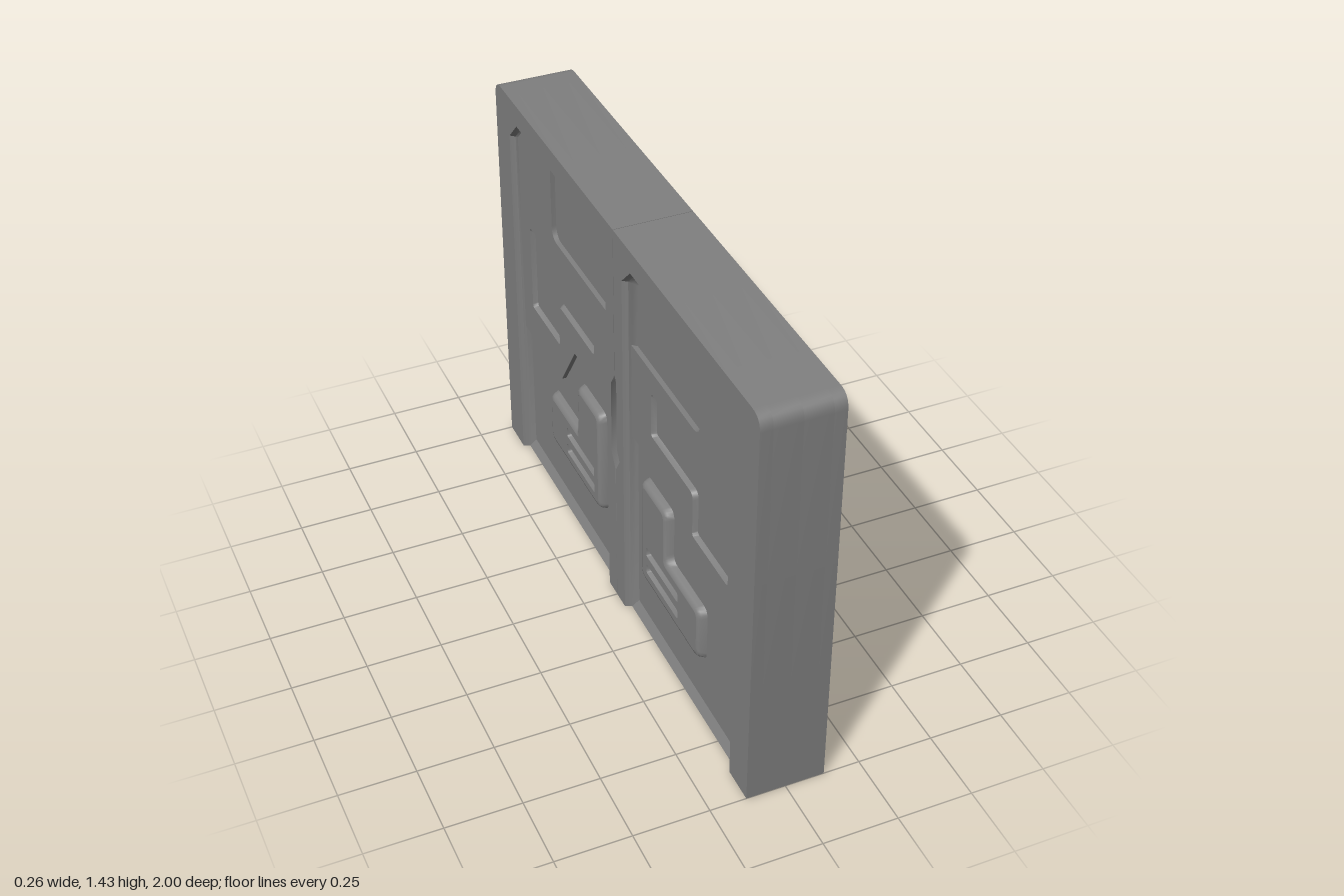
import * as THREE from 'three';
import { toCreasedNormals } from 'three/addons/utils/BufferGeometryUtils.js';

const solid = new THREE.MeshStandardMaterial({ color: 0x808080 });
const sheet = new THREE.MeshStandardMaterial({ color: 0x808080, side: THREE.DoubleSide });

// Distances of the surface levels from the middle plane of the door
const FACE = 0.13, UPPER = 0.106, LOWER = 0.09, BOSS = 0.118;
const SEAM = 0.001; // half width of the gap between the leaves

// Closed outline from [z, y, cornerRadius] points; s = -1 mirrors it
function outline(points, s, Type = THREE.Shape) {
  const path = new Type();
  const n = points.length;
  points.forEach(([z, y, r = 0], i) => {
    const p = new THREE.Vector2(z * s, y);
    const toward = ([qz, qy]) => new THREE.Vector2(qz * s, qy).sub(p).setLength(r).add(p);
    const a = r ? toward(points[(i + n - 1) % n]) : p;
    if (i === 0) path.moveTo(a.x, a.y); else path.lineTo(a.x, a.y);
    if (r) {
      const b = toward(points[(i + 1) % n]);
      path.quadraticCurveTo(p.x, p.y, b.x, b.y);
    }
  });
  path.closePath();
  return path;
}

// Plate between two levels, facing -x; holes run against the outline
function plate(name, points, s, from, to, holes = []) {
  const shape = outline(points, s);
  shape.holes = holes.map((h) => outline([...h].reverse(), s, THREE.Path));
  const geo = new THREE.ExtrudeGeometry(shape, { depth: to - from, bevelEnabled: false, curveSegments: 6 });
  geo.translate(0, 0, from).rotateY(-Math.PI / 2);
  const mesh = new THREE.Mesh(toCreasedNormals(geo, 0.6), solid);
  mesh.name = name;
  return mesh;
}

// Sloping strip through matching rows, each a line of [z, y] points and its level
function slope(name, rows, s) {
  const pos = [];
  for (let k = 0; k < rows.length - 1; k++) {
    const [[lineA, levelA], [lineB, levelB]] = [rows[k], rows[k + 1]];
    for (let i = 0; i < lineA.length - 1; i++) {
      const a = [-levelA, lineA[i][1], lineA[i][0] * s];
      const b = [-levelA, lineA[i + 1][1], lineA[i + 1][0] * s];
      const c = [-levelB, lineB[i + 1][1], lineB[i + 1][0] * s];
      const d = [-levelB, lineB[i][1], lineB[i][0] * s];
      pos.push(...(s > 0 ? [a, b, c, a, c, d] : [a, c, b, a, d, c]).flat());
    }
  }
  const geo = new THREE.BufferGeometry();
  geo.setAttribute('position', new THREE.Float32BufferAttribute(pos, 3));
  const mesh = new THREE.Mesh(toCreasedNormals(geo, 0.7), sheet);
  mesh.name = name;
  return mesh;
}

// Points along a rounded closed outline, for use as a slope row
const ring = (points) => outline(points, 1).getPoints(5).map((p) => [p.x, p.y]);

// Outlines shrunk by d
const openingAt = (d) => [
  [0.065 + d, 0], [0.065 + d, 1.29 - 0.4 * d], [0.13 + 0.4 * d, 1.355 - d],
  [0.81 - 0.4 * d, 1.355 - d], [0.88 - d, 1.285 - 0.4 * d], [0.88 - d, 0],
];
const bossAt = (d) => {
  const r = 0.03 - d / 4;
  return [
    [0.62 - d, 0.22 + d, r], [0.62 - d, 0.425 - d, r], [0.37 - d, 0.425 - d, r],
    [0.37 - d, 0.62 - d, r], [0.165 + d, 0.62 - d, r], [0.165 + d, 0.22 + d, r],
  ];
};
const stepAt = (d) => [
  [0.784 - d, 0.662 + d, 0.012], [0.784 - d, 0.978 - d, 0.012], [0.229 + d, 0.978 - d, 0.012],
  [0.229 + d, 0.82 + d, 0.012], [0.535 + d, 0.82 + d, 0.025], [0.535 + d, 0.662 + d, 0.012],
];
const ventAt = (y, d) => [
  [0.218 + d, y + d, 0.008], [0.46 - d, y + d, 0.008],
  [0.46 - d, y + 0.036 - d, 0.008], [0.218 + d, y + 0.036 - d, 0.008],
];

// One face of one door leaf; s gives the side along z
function leafFace(s) {
  const leaf = new THREE.Group();
  leaf.name = s > 0 ? 'frontLeaf' : 'backLeaf';

  leaf.add(plate('leafCore', [[SEAM, 0], [1, 0], [1, 1.43, 0.05], [SEAM, 1.43]], s, 0, LOWER));

  // Frame around the recess, with half of the central latch slot cut out
  leaf.add(plate('frame', [
    [SEAM, 0], ...openingAt(0), [1, 0], [1, 1.43, 0.05], [SEAM, 1.43],
    [SEAM, 0.9], [0.031, 0.85], [0.031, 0.58], [SEAM, 0.53],
  ], s, LOWER, FACE));
  leaf.add(slope('frameBevel', [
    [openingAt(0), FACE], [openingAt(0.008), 0.112], [openingAt(0.016), 0.102], [openingAt(0.028), LOWER],
  ], s));
  leaf.add(plate('latchFloor', [[0, 0.52], [0.04, 0.52], [0.04, 0.91], [0, 0.91]], s, LOWER, 0.112));

  // Sill sloping out at the foot of the recess
  const sillEdge = [[0.065, 0], [0.88, 0]];
  leaf.add(slope('sill', [
    [[[0.065, 0.035], [0.88, 0.035]], LOWER], [sillEdge, 0.108], [sillEdge, LOWER],
  ], s));

  // Upper panel with a window corner cut away and a stepped recess
  leaf.add(plate('upperPanel', [
    [0.075, 0.715], [0.4, 0.715], [0.525, 0.53], [0.873, 0.53], [0.873, 1.28], [0.806, 1.345],
    [0.577, 1.345], [0.577, 1.06, 0.045], [0.075, 1.06],
  ], s, LOWER, UPPER, [stepAt(0)]));
  leaf.add(slope('stepBevel', [[ring(stepAt(0)), UPPER], [ring(stepAt(0.007)), LOWER]], s));

  // Raised boss with rounded rim and two vent slots
  leaf.add(slope('bossRim', [
    [ring(bossAt(0)), LOWER], [ring(bossAt(0.006)), 0.108], [ring(bossAt(0.012)), 0.115], [ring(bossAt(0.022)), BOSS],
  ], s));
  const vents = [0.268, 0.336];
  leaf.add(plate('boss', bossAt(0.022), s, LOWER, BOSS, vents.map((y) => ventAt(y, 0))));
  for (const y of vents) {
    leaf.add(slope('ventBevel', [[ring(ventAt(y, 0)), BOSS], [ring(ventAt(y, 0.006)), LOWER]], s));
  }
  return leaf;
}

export function createModel() {
  const model = new THREE.Group();
  model.name = 'doubleDoor';
  for (const side of [0, 1]) {
    const face = new THREE.Group();
    face.name = side ? 'leftFace' : 'rightFace';
    face.add(leafFace(1), leafFace(-1));
    face.rotation.y = side * Math.PI;
    model.add(face);
  }
  return model;
}
